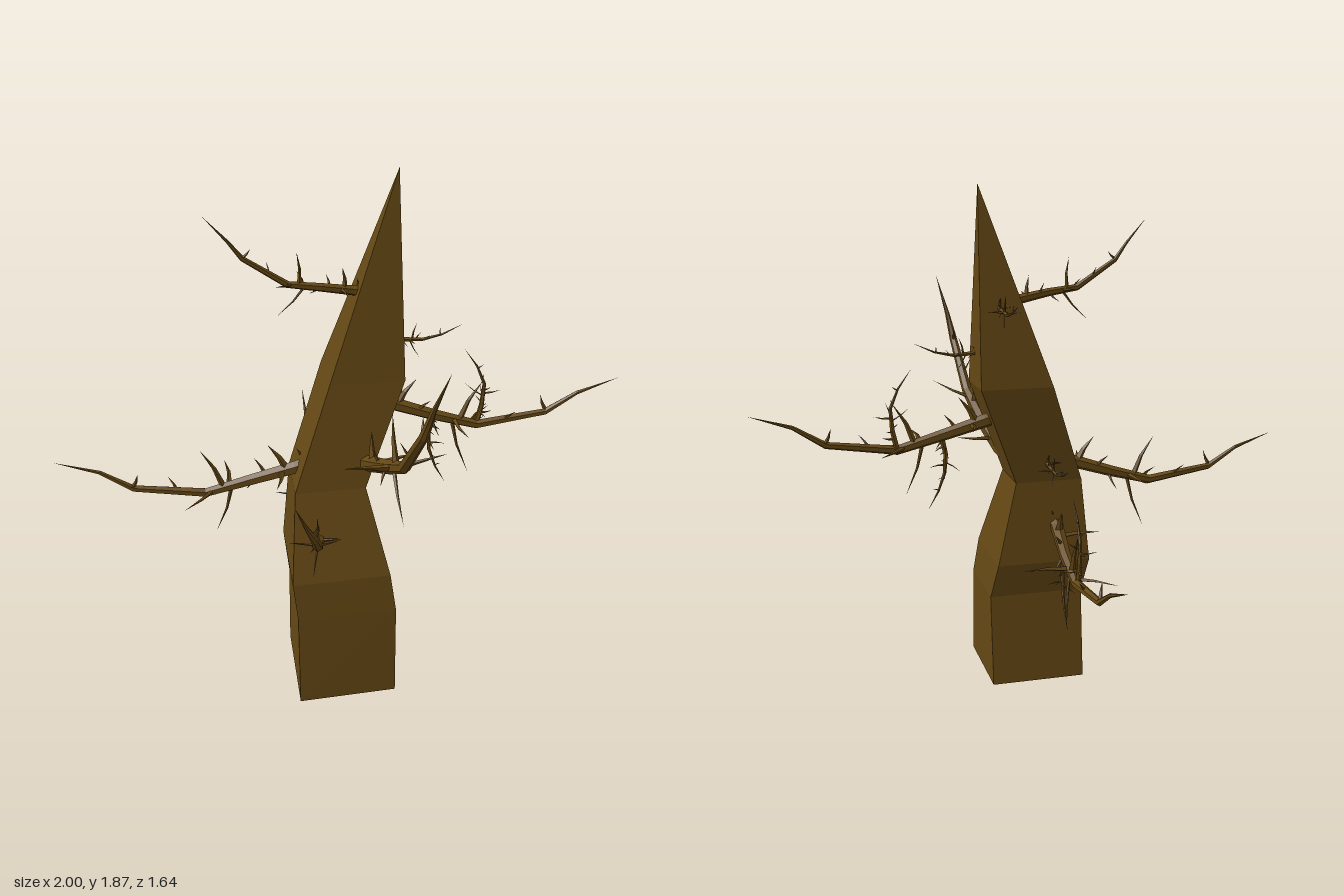
import * as THREE from 'three';
import { mergeGeometries } from 'three/addons/utils/BufferGeometryUtils.js';

const V = (x, y, z) => new THREE.Vector3(x, y, z);
const bark = new THREE.MeshStandardMaterial({ color: 0x644714, flatShading: true });

// Skin a list of rings (equal point counts, counter-clockwise about the path)
function skin(rings) {
  const n = rings[0].length, index = [];
  for (let i = 0; i < rings.length - 1; i++)
    for (let j = 0; j < n; j++) {
      const a = i * n + j, b = i * n + (j + 1) % n;
      index.push(a, b, b + n, a, b + n, a + n);
    }
  const g = new THREE.BufferGeometry().setFromPoints(rings.flat());
  g.setIndex(index);
  const flat = g.toNonIndexed();
  flat.computeVertexNormals();
  return flat;
}

// Frame along a direction: d forward, up and side perpendicular to it
function frame(dir, upHint) {
  const d = dir.clone().normalize();
  const up = upHint.clone().addScaledVector(d, -upHint.dot(d)).normalize();
  return { d, up, side: d.clone().cross(up) };
}

// Tapered limb through points, ending in a sharp tip
function limb(points, radius, sides, upHint) {
  const last = points.length - 1;
  return skin(points.map((p, i) => {
    const dir = points[Math.min(i + 1, last)].clone().sub(points[Math.max(i - 1, 0)]);
    const { up, side } = frame(dir, upHint);
    const r = radius * Math.pow(1 - i / last, 0.75);
    return Array.from({ length: sides }, (_, j) => {
      const a = j / sides * Math.PI * 2;
      return p.clone().addScaledVector(up, r * Math.cos(a)).addScaledVector(side, r * Math.sin(a));
    });
  }));
}

// Thorns on every branch: position along it, direction (forward, up, side), length, thickness
const THORNS = [
  [0.07, 0.2, 1, 0.3, 0.06, 0.010],
  [0.14, 0.3, 1, 0, 0.11, 0.014],
  [0.16, 0.05, 0.1, -1, 0.14, 0.011],
  [0.22, 0.4, 1, 0.5, 0.07, 0.008],
  [0.27, 0.5, -0.6, 0.5, 0.08, 0.007],
  [0.35, 0.65, -1, 0.15, 0.20, 0.007],
  [0.36, 0.1, 0.1, 1, 0.16, 0.010],
  [0.38, 0.2, 1, 0, 0.16, 0.011],
  [0.42, 0.7, 0.2, -1, 0.15, 0.008],
  [0.55, 0.6, 0.6, 0.5, 0.06, 0.006],
  [0.71, 0.2, 1, -0.2, 0.06, 0.008],
];

// Curved thorn that bends forward along its branch
function thorn(base, f, [, fw, u, s, len, r], k) {
  const dir = V(0, 0, 0).addScaledVector(f.d, fw).addScaledVector(f.up, u)
    .addScaledVector(f.side, s).normalize();
  const pts = [0, 0.5, 1].map(t => base.clone().addScaledVector(dir, len * k * t)
    .addScaledVector(f.d, len * k * 0.2 * (t * t - t)));
  return limb(pts, r * k, 4, f.d);
}

function thornyLimb(points, radius, upHint, sides = 6) {
  const parts = [limb(points, radius, sides, upHint)];
  const path = new THREE.CurvePath();
  for (let i = 1; i < points.length; i++) path.add(new THREE.LineCurve3(points[i - 1], points[i]));
  const k = path.getLength() / 0.9 * (sides < 6 ? 1.15 : 1);
  for (const t of THORNS) {
    const f = frame(path.getTangentAt(t[0]), upHint);
    parts.push(thorn(path.getPointAt(t[0]), f, t, k));
  }
  return mergeGeometries(parts);
}

export function createModel() {
  const group = new THREE.Group();
  const add = (name, geometry) => {
    const mesh = new THREE.Mesh(geometry, bark);
    mesh.name = name;
    group.add(mesh);
  };

  // Crooked four-sided trunk: y, x range, z range
  const levels = [
    [0, -0.02, -0.02, 0.2, 0.2],
    [0, -0.195, 0.16, 0.015, 0.395],
    [0.35, -0.195, 0.16, 0.05, 0.37],
    [0.49, -0.21, 0.14, 0.0, 0.355],
    [0.8, -0.185, 0.064, 0.03, 0.25],
    [1.17, -0.055, 0.207, -0.04, 0.18],
    [1.87, 0.19, 0.19, 0.06, 0.06],
  ];
  add('trunk', skin(levels.map(([y, x0, x1, z0, z1]) => {
    const inset = (z1 - z0) * 0.045; // the left face is slightly narrower
    return [V(x0, y, z1), V(x1, y, z1 - inset), V(x1, y, z0 + inset), V(x0, y, z0)];
  })));

  const UP = V(0, 1, 0);
  const toPoints = list => list.map(p => V(...p));

  // Three long drooping branches share one outline: outward distance, height, sideways drift
  const outline = [[-0.1, 0.03, 0], [0, 0, 0], [0.16, -0.05, 0.02], [0.32, -0.095, 0.03],
    [0.57, -0.06, 0.035], [0.68, 0.01, 0.04], [0.83, 0.06, 0.04]];
  const upTwig = [[0.32, -0.095], [0.335, -0.02], [0.34, 0.06], [0.31, 0.13], [0.26, 0.2]];
  const downTwig = [[0.16, -0.05], [0.145, -0.12], [0.15, -0.19], [0.175, -0.26], [0.215, -0.33]];
  const longBranches = [
    ['leftBranch', V(0.17, 1.04, 0.065), V(1, 0, 0), true, 1],
    ['rightBranch', V(-0.17, 0.845, 0.14), V(-1, 0, 0), false, 1],
    ['backBranch', V(-0.085, 0.625, 0.01), V(0, 0, -1), true, 1],
  ];
  for (const [name, base, out, twigs, lift] of longBranches) {
    const side = out.clone().cross(UP);
    const place = ([u, v, w = 0.025]) => base.clone().addScaledVector(out, u)
      .addScaledVector(UP, v * lift).addScaledVector(side, w);
    const pts = outline.map(place);
    if (name === 'backBranch') pts[pts.length - 1].y += 0.015;
    add(name, thornyLimb(pts, 0.029, UP));
    if (twigs) {
      add(name + 'UpperTwig', thornyLimb(upTwig.map(place), 0.011, out, 5));
      add(name + 'LowerTwig', thornyLimb(downTwig.map(place), 0.011, out, 5));
    }
  }

  // Rising branches
  add('frontBranch', thornyLimb(toPoints([[0.05, 0.87, 0.14], [0.075, 0.89, 0.23],
    [0.11, 0.97, 0.4], [0.13, 1.05, 0.55], [0.15, 1.24, 0.71], [0.165, 1.34, 0.75],
    [0.195, 1.49, 0.82]]), 0.034, UP));
  add('lowerFrontBranch', thornyLimb(toPoints([[-0.1, 0.61, 0.22], [-0.115, 0.64, 0.31],
    [-0.13, 0.7, 0.43], [-0.15, 0.79, 0.53], [-0.18, 0.86, 0.565], [-0.22, 0.96, 0.6]]), 0.027, UP));
  add('upperRightBranch', thornyLimb(toPoints([[0.1, 1.46, 0.08], [0.04, 1.47, 0.08],
    [-0.07, 1.49, 0.09], [-0.18, 1.505, 0.09], [-0.325, 1.6, 0.09], [-0.37, 1.66, 0.095],
    [-0.445, 1.745, 0.1]]), 0.02, UP));

  // Small twigs growing straight from the trunk
  const smallTwigs = [
    ['leftSmallTwig', V(0.16, 1.3, 0.08), V(1, 0, 0)],
    ['upperBackSmallTwig', V(0.13, 1.46, 0.02), V(0, 0, -1)],
    ['lowerBackSmallTwig', V(-0.05, 0.88, 0.03), V(0, 0, -1)],
  ];
  for (const [name, base, out] of smallTwigs)
    add(name, thornyLimb([[-0.03, 0], [0.05, -0.015], [0.12, -0.02], [0.19, -0.005], [0.265, 0.03]]
      .map(([u, v]) => base.clone().addScaledVector(out, u).addScaledVector(UP, v)), 0.01, UP, 5));

  return group;
}
